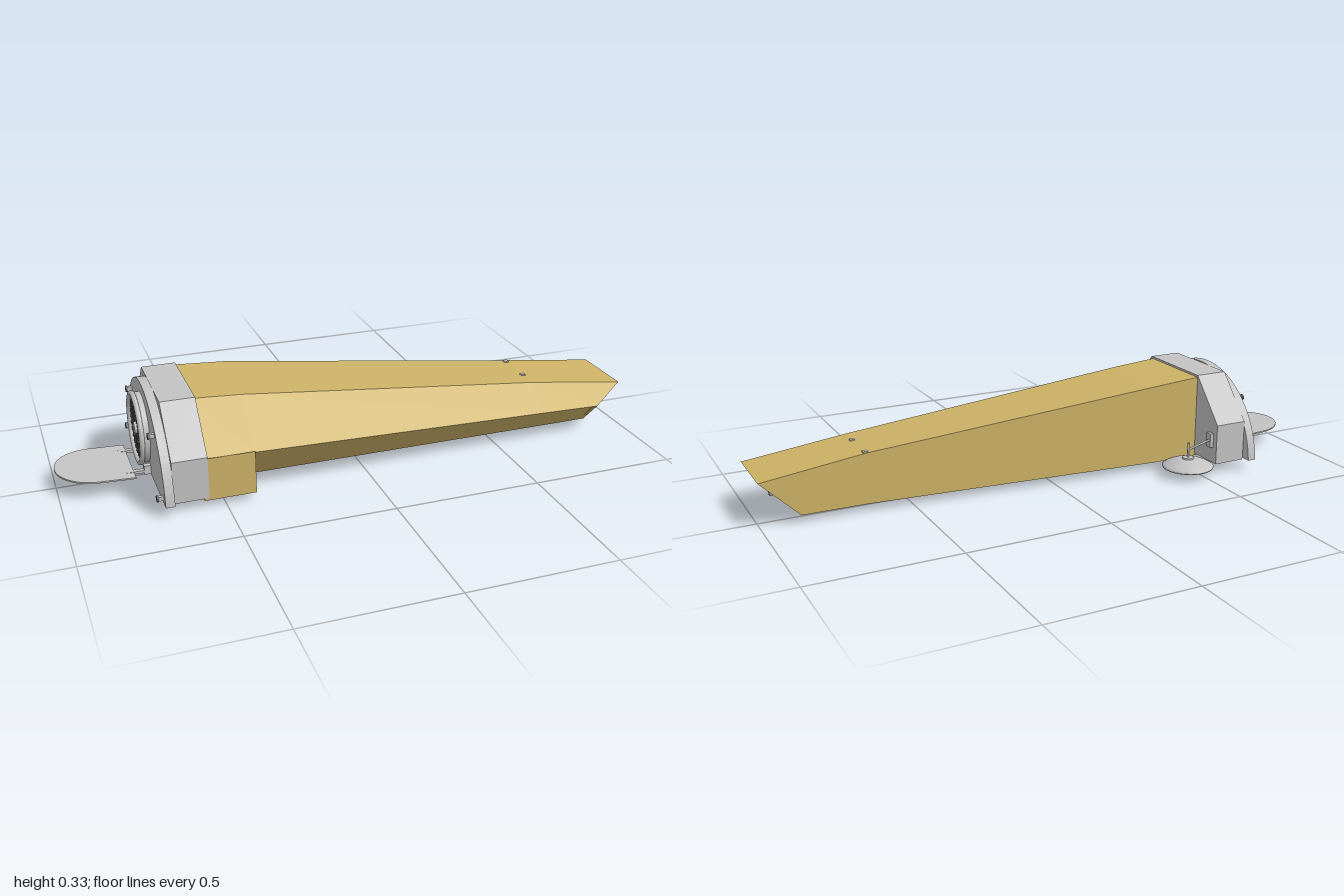
import * as THREE from 'three';

const mat = (name, color, side = THREE.FrontSide) => {
  const m = new THREE.MeshStandardMaterial({ color, side });
  m.name = name;
  return m;
};

export function createModel() {
  const root = new THREE.Group();
  const gold = mat('gold foil', 0xcdb266, THREE.DoubleSide);
  const grey = mat('light grey', 0xc3c3c3, THREE.DoubleSide);
  const dark = mat('dark grey', 0x6e6e6e);

  const add = (name, geo, material, x = 0, y = 0, z = 0, parent = root) => {
    const m = new THREE.Mesh(geo, material);
    m.name = name;
    m.position.set(x, y, z);
    parent.add(m);
    return m;
  };
  const box = (name, w, h, d, x, y, z, material = grey) =>
    add(name, new THREE.BoxGeometry(w, h, d), material, x, y, z);
  // outline given as [z, y], extruded along x
  const prism = (name, pts, x0, x1, material) => {
    const s = new THREE.Shape(pts.map(([z, y]) => new THREE.Vector2(-z, y)));
    const g = new THREE.ExtrudeGeometry(s, { depth: x1 - x0, bevelEnabled: false });
    g.rotateY(Math.PI / 2);
    return add(name, g, material, x0);
  };
  const cylX = (name, r, x0, x1, y, z, material = grey, r2 = r, seg = 24) => {
    const g = new THREE.CylinderGeometry(r2, r, x1 - x0, seg).rotateZ(-Math.PI / 2);
    return add(name, g, material, (x0 + x1) / 2, y, z);
  };
  // straight rod between two points
  const rod = (name, a, b, r, material = grey) => {
    const curve = new THREE.LineCurve3(new THREE.Vector3(...a), new THREE.Vector3(...b));
    return add(name, new THREE.TubeGeometry(curve, 1, r, 8), material);
  };

  // Tapering body: five-sided sections, open under the slanted hood
  const sections = [
    [[-0.57, 0.026, -0.145], [-0.57, 0.32, -0.145], [-0.57, 0.32, 0.15], [-0.57, 0.174, 0.292], [-0.57, 0.026, 0.162]],
    [[-0.38, 0.026, -0.145], [-0.38, 0.307, -0.145], [-0.4, 0.308, 0.148], [-0.4, 0.166, 0.287], [-0.4, 0.026, 0.162]],
    [[0.65, 0.026, -0.06], [0.65, 0.2, -0.06], [0.65, 0.2, 0.158], [0.65, 0.116, 0.241], [0.65, 0.026, 0.162]],
    [[0.87, 0.026, -0.056], [1, 0.155, -0.058], [1, 0.155, 0.167], [0.88, 0.104, 0.23], [0.87, 0.026, 0.162]],
  ];
  const pos = [];
  for (let i = 0; i < sections.length - 1; i++) {
    for (let j = 0; j < 5; j++) {
      const k = (j + 1) % 5;
      const a = sections[i][j], b = sections[i + 1][j], c = sections[i + 1][k], d = sections[i][k];
      pos.push(...a, ...b, ...c, ...a, ...c, ...d);
    }
  }
  const bodyGeo = new THREE.BufferGeometry();
  bodyGeo.setAttribute('position', new THREE.Float32BufferAttribute(pos, 3));
  bodyGeo.computeVertexNormals();
  add('body', bodyGeo, gold);
  prism('lowerFrontBlock', [[0.292, 0.172], [0.292, 0.025], [0.16, 0.025]], -0.57, -0.4, gold);
  prism('instrumentPanel', [[-0.056, 0.027], [0.162, 0.027], [0.228, 0.1], [0.164, 0.168], [-0.056, 0.168]], 0.858, 0.868, gold);

  // Collar and half-round end plate
  prism('collar', [[0.295, 0.034], [0.295, 0.178], [0.158, 0.326], [-0.146, 0.326], [-0.278, 0.176], [-0.278, 0.034]], -0.67, -0.555, grey);
  const arc = [];
  for (let i = 0; i <= 40; i++) {
    const t = 0.094 + (Math.PI - 0.188) * i / 40;
    arc.push([0.005 + 0.32 * Math.cos(t), 0.01 + 0.32 * Math.sin(t)]);
  }
  prism('endPlate', arc, -0.7, -0.67, grey);
  for (const [z, y] of [[0.29, 0.06], [-0.27, 0.06], [0.2, 0.235], [-0.19, 0.235]]) {
    box('plateLatch', 0.02, 0.014, 0.012, -0.71, y, z);
    cylX('latchPin', 0.011, -0.722, -0.716, y, z, dark, 0.011, 10);
  }

  // Round slotted aperture on the end plate
  const cy = 0.175;
  cylX('apertureBase', 0.118, -0.722, -0.7, cy, 0, grey, 0.118, 48);
  add('apertureRim', new THREE.TorusGeometry(0.116, 0.009, 8, 48).rotateY(Math.PI / 2), grey, -0.726, cy, 0);
  cylX('apertureHub', 0.02, -0.732, -0.72, cy, 0);
  for (const [r, n, len, w] of [[0.035, 12, 0.018, 0.009], [0.062, 20, 0.022, 0.011], [0.091, 28, 0.022, 0.012]]) {
    for (let i = 0; i < n; i++) {
      const t = i / n * Math.PI * 2;
      const slot = box('apertureSlot', 0.006, len, w, -0.722, cy + r * Math.cos(t), r * Math.sin(t), dark);
      slot.rotation.x = t;
    }
  }

  // Open aperture cover with hinges
  const cover = new THREE.Shape();
  cover.moveTo(-0.755, -0.125);
  cover.lineTo(-0.755, 0.125);
  cover.lineTo(-0.875, 0.125);
  cover.absarc(-0.875, 0, 0.125, Math.PI / 2, Math.PI * 1.5, false);
  const coverGeo = new THREE.ExtrudeGeometry(cover, { depth: 0.005, bevelEnabled: false, curveSegments: 32 });
  coverGeo.rotateX(-Math.PI / 2).translate(0.755, 0, 0);
  add('apertureCover', coverGeo, grey, -0.755, 0.053, 0).rotation.z = -0.045;
  for (const z of [-0.08, 0.08]) {
    box('coverHinge', 0.08, 0.009, 0.016, -0.74, 0.055, z);
    box('hingeBracket', 0.022, 0.03, 0.02, -0.711, 0.06, z);
  }

  // Dish antenna facing down, on a post and arm behind the body
  const dx = -0.465, dz = -0.237;
  const dish = [];
  for (let i = 0; i <= 10; i++) {
    const t = i / 10;
    dish.push(new THREE.Vector2(0.0901 * t, 0.06 - 0.027 * t * t));
  }
  dish.push(new THREE.Vector2(0.088, 0.028), new THREE.Vector2(0.05, 0.042), new THREE.Vector2(0, 0.05));
  add('dish', new THREE.LatheGeometry(dish, 40), grey, dx, 0, dz);
  add('dishHub', new THREE.CylinderGeometry(0.02, 0.022, 0.006, 20), grey, dx, 0.06, dz);
  rod('dishFeed', [dx, 0.05, dz], [dx, 0.0, dz], 0.0025);
  rod('dishPost', [dx, 0.06, dz], [dx, 0.115, dz], 0.004);
  rod('dishArm', [-0.56, 0.125, -0.255], [dx, 0.09, dz], 0.004);
  box('dishBracket', 0.014, 0.05, 0.025, -0.549, 0.116, -0.245);

  // Instruments on the panel under the hood
  const px = 0.868;
  const dome = [[0, 0], [0.041, 0], [0.041, 0.012], [0.036, 0.02], [0.037, 0.03], [0.032, 0.046],
    [0.022, 0.057], [0.012, 0.062], [0.012, 0.085], [0, 0.085]].map(([r, h]) => new THREE.Vector2(r, h));
  add('sensorDome', new THREE.LatheGeometry(dome, 32).rotateZ(-Math.PI / 2), grey, px, 0.098, 0.005);
  for (let i = 0; i < 3; i++) {
    const t = i * Math.PI * 2 / 3;
    const c = Math.cos(t), s = Math.sin(t);
    const foot = box('domeFoot', 0.016, 0.012, 0.03, px + 0.008, 0.098 + 0.047 * c, 0.005 + 0.047 * s);
    foot.rotation.x = t;
    const u = t + Math.PI / 3;
    const y = 0.098 + 0.05 * Math.cos(u), z = 0.003 + 0.052 * Math.sin(u);
    cylX('thruster', 0.008, px, px + 0.025, y, z, grey, 0.006, 12);
    cylX('thrusterTip', 0.0035, px + 0.025, px + 0.03, y, z, dark, 0.0035, 10);
  }
  box('electronicsBox', 0.03, 0.04, 0.084, px + 0.015, 0.101, 0.115);
  for (const [y, z] of [[0.128, 0.142], [0.076, 0.142], [0.099, 0.067]]) {
    cylX('boxFitting', 0.005, px, px + 0.02, y, z, grey, 0.004, 10);
  }
  for (const [y, z] of [[0.147, 0.168], [0.1, 0.208], [0.053, 0.168]]) {
    cylX('panelDisc', 0.0115, px, px + 0.003, y, z, gold);
  }

  // Small fittings on the top and plates on the underside
  for (const z of [-0.047, 0.085]) box('topFitting', 0.016, 0.006, 0.016, 0.65, 0.201, z);
  for (const x of [0.67, 0.79]) box('undersidePlate', 0.105, 0.004, 0.16, x, 0.025, 0.05);

  return root;
}
